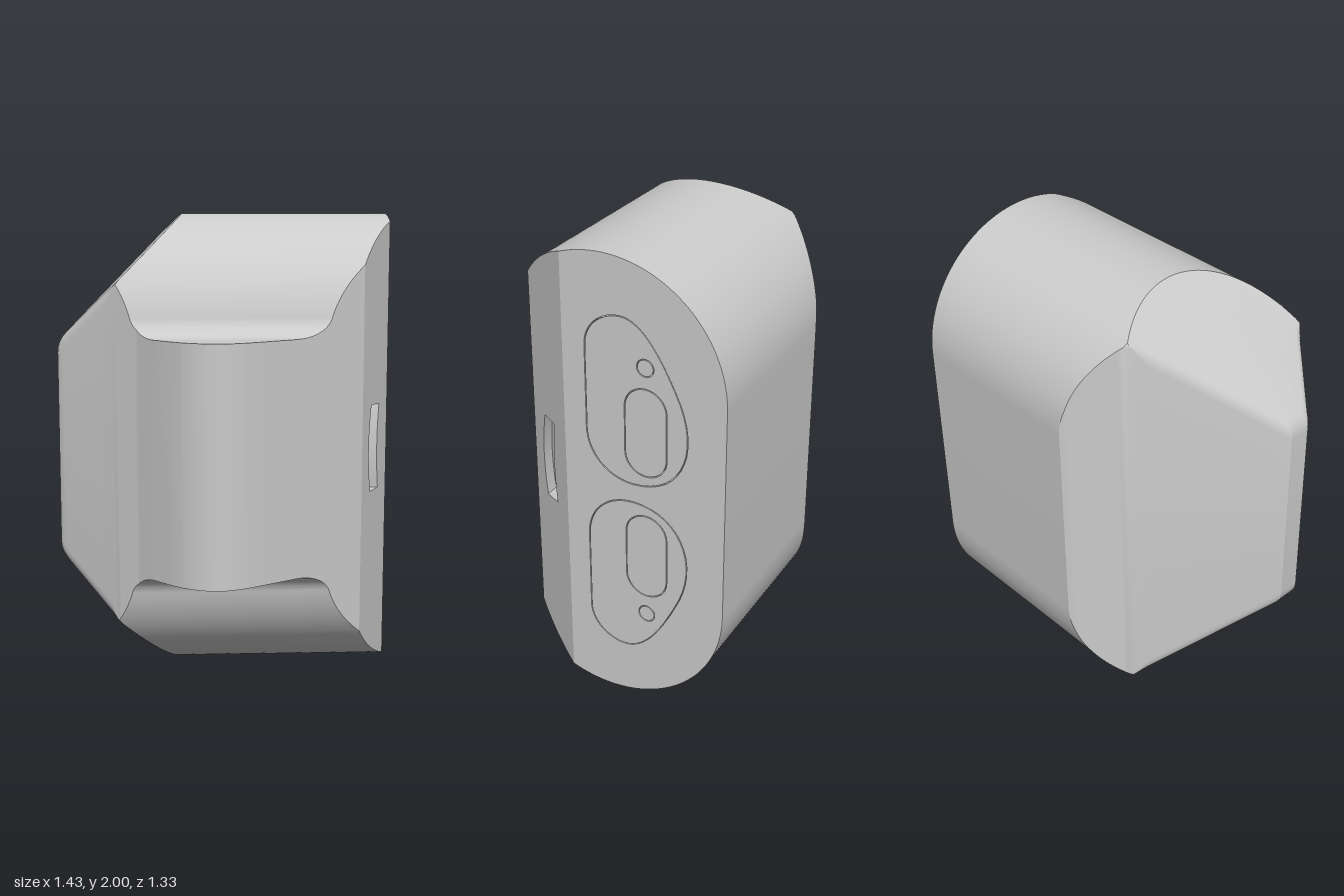
import * as THREE from 'three';
import { toCreasedNormals } from 'three/addons/utils/BufferGeometryUtils.js';

const SKIN = 0.06; // thickness of the right-hand cover plates
const BACK = -0.665, FRONT = 0.665, EDGE = 0.05, COVER_END = 0.29;

// Plan outline: [z, x] along the left-hand and right-hand borders
const lowX = [[BACK, -0.11], [-0.65, -0.132], [0.01, -0.703], [0.03, -0.717], [0.125, -0.717],
  [0.14, -0.705], [0.41, -0.375], [0.57, -0.235], [0.61, -0.19], [0.64, -0.14], [0.658, -0.095], [FRONT, -0.05]];
const highX = [[BACK, 0.717], [EDGE, 0.717], [COVER_END, 0.577], [0.6, 0.11], [0.63, 0.06],
  [0.65, 0.015], [0.66, -0.015], [FRONT, -0.049]];

function lookup(table, z) {
  for (let i = 1; i < table.length; i++) {
    const [z0, x0] = table[i - 1], [z1, x1] = table[i];
    if (z <= z1) return x0 + (x1 - x0) * (z - z0) / (z1 - z0);
  }
  return table[table.length - 1][1];
}

// Side profile: half the height about y = 1 (round shell, fillet, front block)
function halfHeight(z) {
  if (z < 0.387) return 0.468 + Math.sqrt(Math.max(0, 0.532 ** 2 - (z + 0.133) ** 2));
  if (z < 0.485) return 0.6 - Math.sqrt(0.01 - (z - 0.485) ** 2);
  return 0.5;
}

// Depths at which the body is sliced
function depths() {
  const zs = [];
  for (let i = 0; i <= 72; i++) zs.push(-0.133 - 0.532 * Math.cos(Math.PI * i / 72));
  for (let i = 0; i <= 8; i++) zs.push(0.485 - 0.098 * Math.cos(Math.PI / 2 * i / 8));
  for (const [z] of [...lowX, ...highX]) zs.push(z);
  return zs.filter((z) => z < 0.387 || z >= 0.387)
    .sort((a, b) => a - b)
    .filter((z, i, all) => i === 0 || z - all[i - 1] > 1e-5);
}

// One slice: flat top, 45 degree chamfer with a softened corner, mirrored below
function slice(z, inset) {
  const h = halfHeight(z), xl = lookup(lowX, z), xr = lookup(highX, z) - inset;
  const topX = Math.max(xl, h - 1.18);
  const cornerH = h - (topX - xl);
  const d = Math.min(0.05, (topX - xl) * 0.6), k = d * Math.SQRT1_2;
  const upper = [[xr, h], [topX, h]];
  for (let i = 0; i <= 4; i++) {
    const t = i / 4, a = (1 - t) ** 2, b = t ** 2;
    upper.push([xl + a * k, cornerH + a * k - b * d]);
  }
  const lower = upper.map(([x, y]) => [x, -y]).reverse();
  return [...upper, ...lower].map(([x, y]) => new THREE.Vector3(x, 1 + y, z));
}

function bodyGeometry() {
  const rings = [];
  for (const z of depths()) {
    if (z <= COVER_END) rings.push(slice(z, SKIN));
    if (z >= COVER_END) rings.push(slice(z, 0));
  }
  const pos = [];
  const tri = (a, b, c) => {
    const area = b.clone().sub(a).cross(c.clone().sub(a)).length();
    if (area > 1e-9) for (const p of [a, b, c]) pos.push(p.x, p.y, p.z);
  };
  const n = rings[0].length;
  for (let r = 0; r + 1 < rings.length; r++) {
    const a = rings[r], b = rings[r + 1];
    for (let i = 0; i < n; i++) {
      const j = (i + 1) % n;
      tri(a[i], a[j], b[j]);
      tri(a[i], b[j], b[i]);
    }
  }
  const first = rings[0], last = rings[rings.length - 1];
  for (let i = 1; i + 1 < n; i++) {
    tri(first[0], first[i + 1], first[i]);
    tri(last[0], last[i], last[i + 1]);
  }
  const geo = new THREE.BufferGeometry();
  geo.setAttribute('position', new THREE.Float32BufferAttribute(pos, 3));
  return toCreasedNormals(geo, 0.4);
}

// Side-on outlines are drawn with u = -z and v = y
function coverOutline(z0, z1) {
  const zs = depths().filter((z) => z >= z0 - 1e-6 && z <= z1 + 1e-6);
  const top = zs.map((z) => new THREE.Vector2(-z, 1 + halfHeight(z)));
  const bottom = zs.map((z) => new THREE.Vector2(-z, 1 - halfHeight(z))).reverse();
  return new THREE.Shape([...top, ...bottom]);
}

function padOutline() {
  const s = new THREE.Shape();
  s.moveTo(0.05, 1.25);
  s.lineTo(0.05, 1.61);
  s.bezierCurveTo(0.05, 1.69, 0.12, 1.76, 0.21, 1.76);
  s.bezierCurveTo(0.3, 1.76, 0.38, 1.65, 0.47, 1.45);
  s.bezierCurveTo(0.56, 1.23, 0.46, 1.04, 0.26, 1.04);
  s.bezierCurveTo(0.14, 1.04, 0.05, 1.13, 0.05, 1.25);
  return s.getPoints(14);
}

function pillOutline() {
  const s = new THREE.Shape();
  s.absarc(0.318, 1.385, 0.094, 0, Math.PI);
  s.absarc(0.318, 1.185, 0.094, Math.PI, Math.PI * 2);
  return s.getPoints(14);
}

function dotOutline() {
  return new THREE.Shape().absarc(0.318, 1.567, 0.038, 0, Math.PI * 2).getPoints(14);
}

function slotOutline() {
  const s = new THREE.Shape();
  s.moveTo(-0.205, 0.81);
  s.quadraticCurveTo(-0.245, 1, -0.205, 1.19);
  s.lineTo(-0.13, 1.185);
  s.quadraticCurveTo(-0.16, 1, -0.13, 0.815);
  return s.getPoints(10);
}

const flip = (pts) => pts.map((p) => new THREE.Vector2(p.x, 2 - p.y)).reverse();

// Shrink an outline about its middle, leaving a hairline gap
function shrink(pts, gap) {
  const box = new THREE.Box2().setFromPoints(pts);
  const c = box.getCenter(new THREE.Vector2()), size = box.getSize(new THREE.Vector2());
  return pts.map((p) => new THREE.Vector2(
    c.x + (p.x - c.x) * (1 - 2 * gap / size.x), c.y + (p.y - c.y) * (1 - 2 * gap / size.y)));
}

// Plate extruded along x, its face following the right-hand border
function plate(shape, holes = []) {
  shape.holes = holes.map((pts) => new THREE.Path(pts));
  const geo = new THREE.ExtrudeGeometry(shape, { depth: SKIN, bevelEnabled: false });
  geo.rotateY(Math.PI / 2);
  const p = geo.attributes.position;
  for (let i = 0; i < p.count; i++) p.setX(i, p.getX(i) + lookup(highX, p.getZ(i)) - SKIN);
  return toCreasedNormals(geo, 0.4);
}

export function createModel() {
  const group = new THREE.Group();
  const material = new THREE.MeshStandardMaterial({ color: 0xcccccc });
  const add = (name, geo) => {
    const mesh = new THREE.Mesh(geo, material);
    mesh.name = name;
    group.add(mesh);
  };

  add('body', bodyGeometry());

  // Side cover with two pad openings, and the slanted cover with its slot
  const pad = padOutline(), pill = pillOutline(), dot = dotOutline();
  add('sideCover', plate(coverOutline(BACK, EDGE), [pad, flip(pad)]));
  add('slantedCover', plate(coverOutline(EDGE, COVER_END), [slotOutline()]));

  // Inlaid pads, each with a pill-shaped key and a round dot
  for (const [side, f] of [['upper', (p) => p], ['lower', flip]]) {
    const gap = 0.004;
    add(side + 'Pad', plate(new THREE.Shape(f(shrink(pad, gap))), [f(pill), f(dot)]));
    add(side + 'Key', plate(new THREE.Shape(f(shrink(pill, gap)))));
    add(side + 'Dot', plate(new THREE.Shape(f(shrink(dot, gap)))));
  }
  return group;
}
